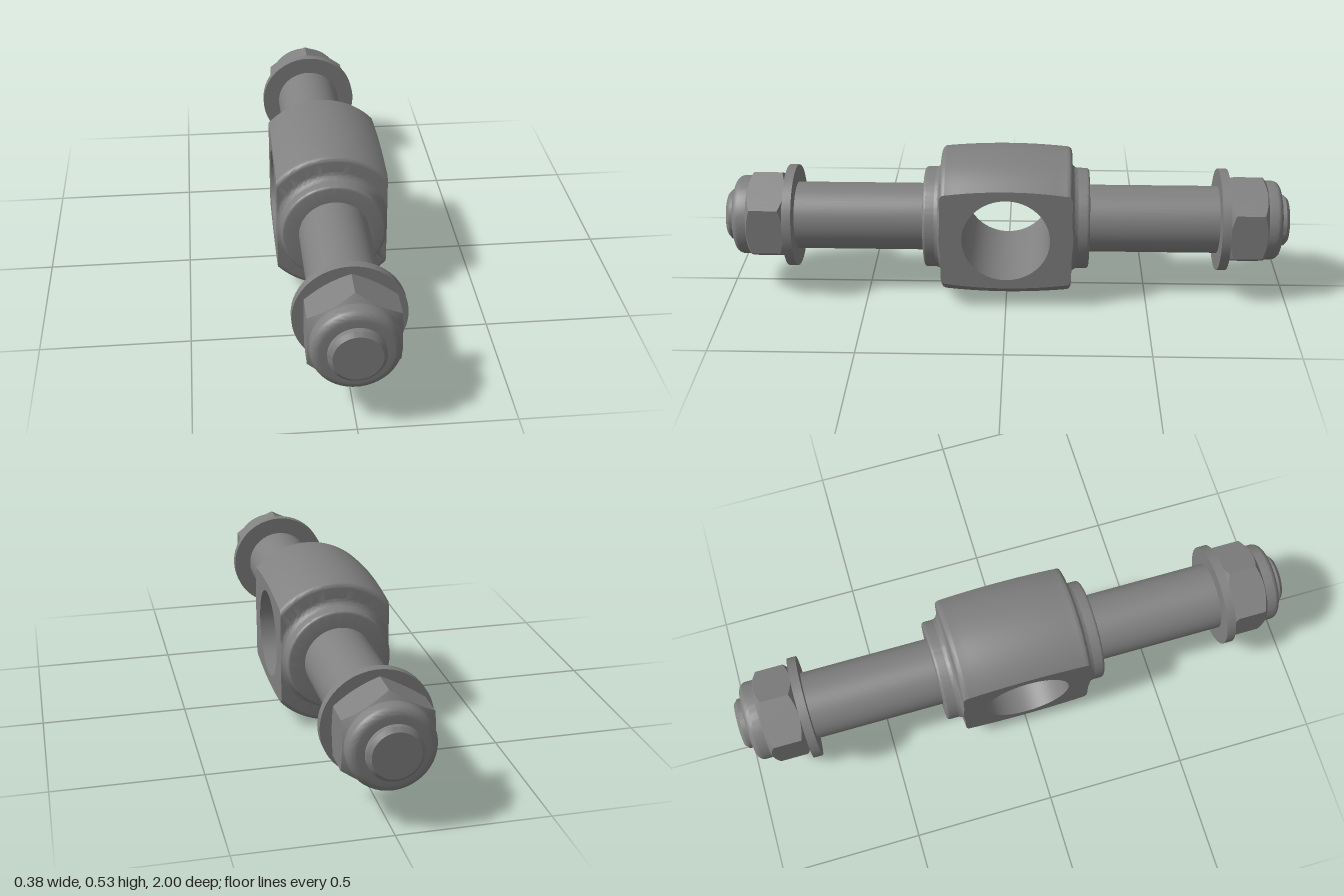
import * as THREE from 'three';
import { toCreasedNormals } from 'three/addons/utils/BufferGeometryUtils.js';

const AXIS_Y = 0.267, FLAT = 0.19, HOLE = 0.154;
const material = new THREE.MeshStandardMaterial({ color: 0x808080 });

function part(name, geometry, crease = 0.5) {
  const mesh = new THREE.Mesh(toCreasedNormals(geometry, crease), material);
  mesh.name = name;
  return mesh;
}

// Surface through rows of points; point(i, j) gives [x, y, z]
function grid(columns, rows, point) {
  const positions = [], index = [];
  for (let j = 0; j <= rows; j++)
    for (let i = 0; i <= columns; i++) positions.push(...point(i, j));
  for (let j = 0; j < rows; j++)
    for (let i = 0; i < columns; i++) {
      const a = j * (columns + 1) + i, b = a + columns + 1;
      index.push(a, a + 1, b + 1, a, b + 1, b);
    }
  const geometry = new THREE.BufferGeometry();
  geometry.setAttribute('position', new THREE.Float32BufferAttribute(positions, 3));
  geometry.setIndex(index);
  return geometry;
}

// Turned part along z from [radius, z] pairs
function turned(name, profile) {
  const points = profile.map(([r, z]) => new THREE.Vector2(r, z));
  return part(name, new THREE.LatheGeometry(points, 64).rotateX(Math.PI / 2));
}

// Arc of [radius, z] pairs
function arc(r, z, size, from, to, steps = 5) {
  return Array.from({ length: steps + 1 }, (_, i) => {
    const a = from + (to - from) * i / steps;
    return [r + size * Math.cos(a), z + size * Math.sin(a)];
  });
}

function createBody() {
  const body = new THREE.Group();
  body.name = 'body';

  // Half profile from the middle outwards: barrel, rounded rim, cove, collar
  const half = [];
  for (let i = 1; i <= 6; i++) {
    const z = 0.21 * i / 6;
    half.push([0.267 - 0.01 * (z / 0.21) ** 2, z]);
  }
  half.push(
    ...arc(0.239, 0.212, 0.018, 0, Math.PI / 2),
    ...arc(0.204, 0.254, 0.024, -Math.PI / 2, -Math.PI + 0.01, 8),
    [0.18, 0.28],
    ...arc(0.17, 0.282, 0.01, 0, Math.PI / 2, 4),
    [0.115, 0.292]);
  // Add the exact row where the flats run out
  const k = half.findIndex(([r]) => r < FLAT);
  const [p, q] = [half[k - 1], half[k]];
  half.splice(k, 0, [FLAT, p[1] + (q[1] - p[1]) * (p[0] - FLAT) / (p[0] - q[0])]);
  const profile = [...half.map(([r, z]) => [r, -z]).reverse(), [0.267, 0], ...half];

  // Curved top and bottom, trimmed at the flats
  for (const turn of [0, Math.PI]) {
    const shell = grid(60, profile.length - 1, (i, j) => {
      const [r, z] = profile[j];
      const start = r > FLAT ? Math.acos(FLAT / r) : 0;
      const a = turn + THREE.MathUtils.clamp(Math.PI * i / 60, start, Math.PI - start);
      return [r * Math.cos(a), r * Math.sin(a), z];
    });
    body.add(part(turn ? 'bodyBottom' : 'bodyTop', shell));
  }

  // Side flats pierced by the cross hole
  const edge = profile.filter(([r]) => r >= FLAT)
    .map(([r, z]) => new THREE.Vector2(z, Math.sqrt(Math.max(0, r * r - FLAT * FLAT))));
  const lower = edge.slice(1, -1).reverse().map(v => new THREE.Vector2(v.x, -v.y));
  const outline = new THREE.Shape([...edge, ...lower]);
  outline.holes.push(new THREE.Path().absarc(0, 0, HOLE, 0, Math.PI * 2, true));
  for (const side of [1, -1]) {
    const flat = new THREE.ShapeGeometry(outline, 32).rotateY(side * Math.PI / 2);
    flat.translate(side * FLAT, 0, 0);
    body.add(part(side > 0 ? 'leftFlat' : 'rightFlat', flat));
  }

  // Wall of the cross hole, facing inwards
  const wall = grid(64, 1, (i, j) => {
    const a = Math.PI * 2 * i / 64;
    return [FLAT * (2 * j - 1), HOLE * Math.cos(a), -HOLE * Math.sin(a)];
  });
  body.add(part('crossHole', wall));
  return body;
}

// Hexagon with conical chamfers on both ends
function createHex(z0, z1) {
  const apothem = 0.145, bevel = 0.141, slope = 0.7;
  const geometry = grid(72, 5, (i, j) => {
    const a = Math.PI * 2 * i / 72;
    const step = Math.PI / 3;
    const r = apothem / Math.cos(((a + step / 2) % step) - step / 2);
    const drop = (r - bevel) * slope;
    const [radius, z] = [
      [0.09, z0], [bevel, z0], [r, z0 + drop],
      [r, z1 - drop], [bevel, z1], [0.09, z1]][j];
    return [radius * Math.cos(a), radius * Math.sin(a), z];
  });
  return part('nutHex', geometry, 0.4);
}

function createStud(name) {
  const stud = new THREE.Group();
  stud.name = name;
  stud.add(
    turned('shaft', [[0.12, 0.285], [0.12, 0.76]]),
    turned('washer', [[0.1, 0.75], [0.182, 0.75], [0.182, 0.782], [0.1, 0.782]]),
    createHex(0.782, 0.918),
    turned('nutCollar', [
      [0.141, 0.9], [0.141, 0.942],
      ...arc(0.114, 0.943, 0.027, 0, Math.PI / 2, 6), [0.085, 0.97]]),
    turned('studTip', [[0.09, 0.95], [0.09, 0.988], [0.077, 1], [0, 1]]));
  return stud;
}

export function createModel() {
  const model = new THREE.Group();
  model.name = 'crossDrilledStud';
  const back = createStud('backStud');
  back.rotation.y = Math.PI;
  model.add(createBody(), createStud('frontStud'), back);
  for (const child of model.children) child.position.y = AXIS_Y;
  return model;
}
